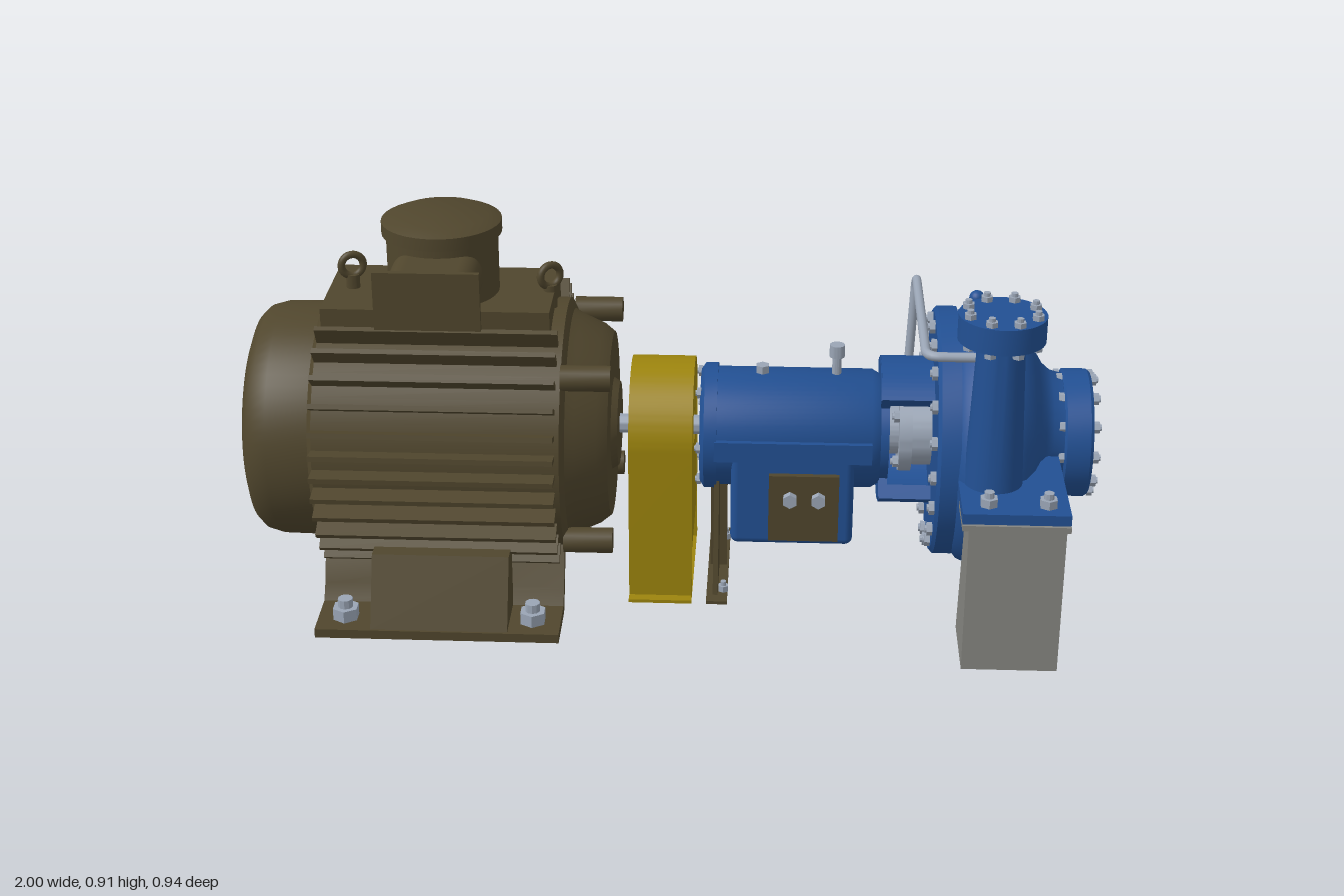
import * as THREE from 'three';
import { toCreasedNormals } from 'three/addons/utils/BufferGeometryUtils.js';
import { RoundedBoxGeometry } from 'three/addons/geometries/RoundedBoxGeometry.js';

const AXIS = 0.385; // shaft height

function material(name, color, side = THREE.FrontSide) {
  const m = new THREE.MeshStandardMaterial({ color, side });
  m.name = name;
  return m;
}

export function createModel() {
  const olive = material('olive paint', 0x50462d);
  const blue = material('blue paint', 0x225093);
  const yellow = material('safety yellow', 0x9c840d, THREE.DoubleSide);
  const steel = material('bright steel', 0x9aa5b5);
  const legGrey = material('support grey', 0x858580, THREE.DoubleSide);
  const endGrey = material('end cover grey', 0x6c6c6a);

  const root = new THREE.Group();
  root.name = 'motorPumpSet';
  const group = (name) => {
    const g = new THREE.Group();
    g.name = name;
    root.add(g);
    return g;
  };
  const add = (parent, name, geo, mat, x = 0, y = 0, z = 0) => {
    const m = new THREE.Mesh(geo, mat);
    m.name = name;
    m.position.set(x, y, z);
    parent.add(m);
    return m;
  };
  // Box given by its limits
  const box = (p, name, mat, x0, x1, y0, y1, z0, z1) =>
    add(p, name, new THREE.BoxGeometry(x1 - x0, y1 - y0, z1 - z0), mat, (x0 + x1) / 2, (y0 + y1) / 2, (z0 + z1) / 2);
  // Turned part along the shaft; profile is [x, radius] with rising x
  const turnedGeo = (profile, seg = 64) => {
    const g = new THREE.LatheGeometry(profile.map(([x, r]) => new THREE.Vector2(r, x)), seg);
    g.rotateZ(-Math.PI / 2);
    return g;
  };
  const turned = (p, name, mat, profile, y = AXIS, z = 0, seg = 64) =>
    add(p, name, toCreasedNormals(turnedGeo(profile, seg), 0.6), mat, 0, y, z);
  const discX = (p, name, mat, x0, x1, r, y = AXIS, z = 0, seg = 48) =>
    turned(p, name, mat, [[x0, 0], [x0, r], [x1, r], [x1, 0]], y, z, seg);
  // Upright cylinder
  const post = (p, name, mat, x, z, y0, y1, r, rTop = r, seg = 40) =>
    add(p, name, toCreasedNormals(new THREE.CylinderGeometry(rTop, r, y1 - y0, seg), 0.6), mat, x, (y0 + y1) / 2, z);
  // Section in [z, y], extruded along x
  const section = (p, name, mat, pts, x0, x1, hole) => {
    const shape = pts instanceof THREE.Shape ? pts : new THREE.Shape(pts.map(([z, y]) => new THREE.Vector2(-z, y)));
    if (hole) shape.holes.push(hole);
    const g = new THREE.ExtrudeGeometry(shape, { depth: x1 - x0, bevelEnabled: false, curveSegments: 32 });
    g.rotateY(Math.PI / 2);
    return add(p, name, toCreasedNormals(g, 0.5), mat, x0, 0, 0);
  };
  // Hexagon nuts with a stud end, upright or along x
  const boltY = (p, x, y, z, r = 0.016, h = 0.016) => {
    post(p, 'boltHead', steel, x, z, y, y + h, r, r, 6);
    post(p, 'boltStud', steel, x, z, y, y + h * 1.7, r * 0.55, r * 0.55, 10);
  };
  const boltX = (p, x, y, z, dir, r = 0.015, h = 0.012) => {
    discX(p, 'boltHead', steel, Math.min(x, x + dir * h), Math.max(x, x + dir * h), r, y, z, 6);
    const e = x + dir * h * 1.35;
    discX(p, 'boltStud', steel, Math.min(x, e), Math.max(x, e), r * 0.55, y, z, 10);
  };
  const ring = (n, r, fn, off = 0) => {
    for (let i = 0; i < n; i++) {
      const a = off + (i / n) * Math.PI * 2;
      fn(r * Math.cos(a), r * Math.sin(a), a);
    }
  };

  // ---- Motor ----
  const motor = group('motor');
  turned(motor, 'fanCowl', olive, [[-0.997, 0], [-0.997, 0.215], [-0.985, 0.25], [-0.965, 0.27], [-0.93, 0.28], [-0.83, 0.282], [-0.83, 0.2]]);
  discX(motor, 'fanCover', endGrey, -1, -0.99, 0.165);
  discX(motor, 'fanCoverCentre', olive, -1.001, -0.99, 0.014, AXIS, 0, 16);
  turned(motor, 'motorBody', olive, [[-0.84, 0], [-0.84, 0.27], [-0.82, 0.3], [-0.25, 0.3], [-0.24, 0.28], [-0.24, 0]]);
  turned(motor, 'endShield', olive, [[-0.25, 0.28], [-0.22, 0.262], [-0.17, 0.24], [-0.145, 0.22], [-0.145, 0.11], [-0.13, 0.1], [-0.13, 0]]);
  ring(4, 0.295, (y, z) => discX(motor, 'shieldLug', olive, -0.25, -0.135, 0.03, AXIS + y, z, 16), Math.PI / 4);
  box(motor, 'topPad', olive, -0.81, -0.28, 0.6, 0.725, -0.14, 0.14);
  // Cooling fins, mirrored; shorter underneath
  for (const s of [-1, 1]) {
    for (const deg of [-82, -72, -60, -49, -38, -28, -18, -9, 0, 9, 18, 29, 40, 51, 61]) {
      const a = THREE.MathUtils.degToRad(deg);
      const tip = deg < -55 ? 0.33 : 0.347;
      const mid = (0.28 + tip) / 2;
      const fin = box(motor, 'coolingFin', olive, -0.82, -0.26, -0.006, 0.006, 0.28 - mid, tip - mid);
      fin.position.set(-0.54, AXIS + mid * Math.sin(a), s * mid * Math.cos(a));
      fin.rotation.x = -s * a;
    }
    // Feet: bent rail, sloped middle and anchor bolts
    const foot = [[0.17, 0.17], [0.2, 0.14], [0.235, 0.06], [0.26, 0.025], [0.39, 0.022], [0.39, 0], [0.245, 0], [0.22, 0.04], [0.185, 0.12], [0.16, 0.15]];
    section(motor, 'footRail', olive, foot.map(([z, y]) => [s * z, y]), -0.82, -0.25);
    section(motor, 'footWeb', olive, [[0.25, 0.18], [0.31, 0.18], [0.385, 0.022], [0.25, 0.022]].map(([z, y]) => [s * z, y]), -0.69, -0.37);
    for (const x of [-0.755, -0.315]) boltY(motor, x, 0.022, s * 0.33, 0.032, 0.03);
  }
  // Lifting eyes
  for (const x of [-0.755, -0.29]) {
    const y = x < -0.5 ? 0.78 : 0.762;
    post(motor, 'eyeStem', olive, x, 0, 0.6, y - 0.022, 0.016);
    add(motor, 'liftingEye', new THREE.TorusGeometry(0.026, 0.009, 10, 28), olive, x, y, 0).rotation.y = x < -0.5 ? 0.4 : 0.6;
  }
  // Terminal box with side conduit entry
  const terminal = group('terminalBox');
  post(terminal, 'terminalHousing', olive, -0.54, 0, 0.65, 0.875, 0.13);
  post(terminal, 'terminalLid', olive, -0.54, 0, 0.87, 0.9, 0.14);
  post(terminal, 'terminalLidCrown', olive, -0.54, 0, 0.9, 0.913, 0.14, 0.11);
  add(terminal, 'conduitEntry', new RoundedBoxGeometry(0.21, 0.105, 0.22, 4, 0.045), olive, -0.54, 0.797, 0.17);
  box(terminal, 'conduitPlate', olive, -0.66, -0.42, 0.735, 0.872, 0.266, 0.28);

  // ---- Shaft and coupling guard ----
  const coupling = group('coupling');
  discX(coupling, 'shaft', steel, -0.14, 0.12, 0.023, AXIS, 0, 24);
  const arch = (r, y0) => {
    const s = new THREE.Shape();
    s.moveTo(-r, y0).lineTo(r, y0).lineTo(r, AXIS).absarc(0, AXIS, r, 0, Math.PI, false).lineTo(-r, y0);
    return s;
  };
  section(coupling, 'guardBand', yellow, arch(0.165, 0), -0.1, 0.05, new THREE.Path(arch(0.157, 0.0005).getPoints(32)));
  const shaftHole = () => new THREE.Path().absarc(0, AXIS, 0.045, 0, Math.PI * 2, true);
  for (const x of [-0.098, 0.04]) section(coupling, 'guardEnd', yellow, arch(0.162, 0.1), x, x + 0.008, shaftHole());
  for (const s of [-1, 1]) box(coupling, 'guardFoot', yellow, -0.1, 0.05, 0, 0.008, s * 0.175 - 0.015, s * 0.175 + 0.015);

  // ---- Bearing housing ----
  const bearing = group('bearingHousing');
  turned(bearing, 'bearingBarrel', blue, [[0.065, 0], [0.065, 0.135], [0.075, 0.15], [0.105, 0.15], [0.105, 0.142], [0.47, 0.142], [0.49, 0.13], [0.49, 0]]);
  add(bearing, 'oilSump', new RoundedBoxGeometry(0.29, 0.24, 0.29, 4, 0.018), blue, 0.285, 0.26, 0);
  box(bearing, 'sideRib', blue, 0.1, 0.47, 0.36, 0.41, -0.153, 0.153);
  box(bearing, 'sumpCover', olive, 0.23, 0.395, 0.16, 0.33, 0.13, 0.16);
  for (const x of [0.28, 0.347]) {
    const b = add(bearing, 'coverBolt', toCreasedNormals(new THREE.CylinderGeometry(0.018, 0.018, 0.02, 6), 0.6), steel, x, 0.272, 0.168);
    b.rotation.x = Math.PI / 2;
  }
  ring(6, 0.13, (y, z) => boltX(bearing, 0.067, AXIS + y, z, -1, 0.013, 0.01), Math.PI / 6);
  post(bearing, 'breather', steel, 0.385, 0, 0.52, 0.575, 0.011, 0.011, 16);
  post(bearing, 'breatherCap', steel, 0.385, 0, 0.57, 0.6, 0.018, 0.018, 16);
  post(bearing, 'fillerPlug', steel, 0.21, 0, 0.52, 0.545, 0.017, 0.017, 6);
  // Bearing foot
  section(bearing, 'bearingFoot', olive, [[-0.16, 0], [0.16, 0], [0.1, 0.29], [-0.1, 0.29]], 0.1, 0.112);
  box(bearing, 'bearingFootRib', olive, 0.09, 0.13, 0, 0.26, -0.006, 0.006);
  box(bearing, 'bearingFootBase', olive, 0.085, 0.135, 0, 0.008, -0.19, 0.19);
  for (const z of [-0.135, 0.135]) boltY(bearing, 0.125, 0.008, z, 0.013, 0.015);

  // ---- Adapter and shaft seal ----
  const adapter = group('sealAdapter');
  turned(adapter, 'adapterNeck', blue, [[0.48, 0.125], [0.51, 0.125], [0.51, 0]]);
  for (const mid of [Math.PI / 2, -Math.PI / 2]) {
    const arm = new THREE.Shape();
    arm.absarc(0, AXIS, 0.175, mid - 0.75, mid + 0.75, false);
    arm.absarc(0, AXIS, 0.14, mid + 0.75, mid - 0.75, true);
    section(adapter, 'adapterArm', blue, arm, 0.49, 0.62);
    const web = new THREE.Shape();
    web.absarc(0, AXIS, 0.17, mid - 0.75, mid + 0.75, false);
    web.absarc(0, AXIS, 0.1, mid + 0.75, mid - 0.75, true);
    section(adapter, 'adapterWeb', blue, web, 0.488, 0.51);
  }
  turned(adapter, 'sealGland', steel, [[0.5, 0], [0.5, 0.06], [0.535, 0.06], [0.535, 0.1], [0.565, 0.1], [0.565, 0.085], [0.62, 0.085]]);
  ring(4, 0.083, (y, z) => boltX(adapter, 0.536, AXIS + y, z, -1, 0.014, 0.014), Math.PI / 4);

  // ---- Pump casing ----
  const pump = group('pumpCasing');
  turned(pump, 'casingCover', blue, [[0.612, 0], [0.612, 0.285], [0.62, 0.295], [0.665, 0.295], [0.665, 0.2]]);
  ring(20, 0.265, (y, z) => boltX(pump, 0.612, AXIS + y, z, -1, 0.016, 0.013));
  const volute = turnedGeo([[0.66, 0.27], [0.675, 0.288], [0.7, 0.298], [0.74, 0.298], [0.78, 0.286], [0.815, 0.262], [0.84, 0.225], [0.855, 0.19], [0.87, 0.165], [0.89, 0.148], [0.92, 0.14]], 96);
  // Swell the volute toward the discharge side
  const v = volute.attributes.position;
  for (let i = 0; i < v.count; i++) {
    const y = v.getY(i), z = v.getZ(i), r = Math.hypot(y, z);
    const c = Math.max(0, Math.cos(Math.atan2(y, z) + 0.35));
    const k = 1 + 0.105 * c * c * THREE.MathUtils.smoothstep(r, 0.17, 0.27);
    v.setY(i, y * k);
    v.setZ(i, z * k);
  }
  add(pump, 'volute', toCreasedNormals(volute, 0.7), blue, 0, AXIS, 0);
  turned(pump, 'suctionFlange', blue, [[0.915, 0], [0.915, 0.145], [0.92, 0.152], [0.975, 0.152], [0.982, 0.147], [0.982, 0]]);
  ring(12, 0.137, (y, z) => {
    boltX(pump, 0.982, AXIS + y, z, 1, 0.014, 0.013);
    boltX(pump, 0.915, AXIS + y, z, -1, 0.014, 0.013);
  });
  post(pump, 'liftingLugBase', blue, 0.705, 0, 0.66, 0.725, 0.02, 0.018, 24);
  add(pump, 'liftingLugTip', new THREE.SphereGeometry(0.018, 20, 12), blue, 0.705, 0.725, 0);
  // Discharge nozzle
  post(pump, 'dischargeNozzle', blue, 0.738, 0.295, 0.36, 0.75, 0.068, 0.053);
  post(pump, 'dischargeFlange', blue, 0.738, 0.295, 0.748, 0.808, 0.098);
  ring(8, 0.08, (x, z) => {
    boltY(pump, 0.738 + x, 0.808, 0.295 + z, 0.014, 0.012);
    post(pump, 'flangeNut', steel, 0.738 + x, 0.295 + z, 0.734, 0.748, 0.014, 0.014, 6);
  }, Math.PI / 8);

  // ---- Mounting wings and support legs ----
  const supports = group('supports');
  for (const s of [-1, 1]) {
    const span = (a, b) => [Math.min(s * a, s * b), Math.max(s * a, s * b)];
    box(supports, 'mountingWing', blue, 0.66, 0.9, 0.372, 0.397, ...span(0.16, 0.462));
    box(supports, 'legTop', legGrey, 0.66, 0.9, 0.358, 0.372, ...span(0.345, 0.47));
    box(supports, 'legOuterWall', legGrey, 0.675, 0.892, 0, 0.358, ...span(0.452, 0.46));
    for (const x of [0.675, 0.884])
      section(supports, 'legSide', legGrey, [[0.27, 0], [0.46, 0], [0.46, 0.358], [0.355, 0.358]].map(([z, y]) => [s * z, y]), x, x + 0.008);
    for (const x of [0.72, 0.852]) boltY(supports, x, 0.397, s * 0.416, 0.021, 0.02);
  }

  // ---- Flush pipe from discharge to seal ----
  const P = (x, y, z) => new THREE.Vector3(x, y, z);
  const corners = [P(0.72, 0.697, 0.285), P(0.575, 0.697, 0.285), P(0.575, 0.697, -0.205), P(0.565, 0.46, -0.205), P(0.555, 0.4, -0.08)];
  const path = new THREE.CurvePath();
  let from = corners[0];
  for (let i = 1; i < corners.length - 1; i++) {
    const c = corners[i];
    const a = c.clone().add(corners[i - 1].clone().sub(c).setLength(0.035));
    const b = c.clone().add(corners[i + 1].clone().sub(c).setLength(0.035));
    path.add(new THREE.LineCurve3(from, a));
    path.add(new THREE.QuadraticBezierCurve3(a, c, b));
    from = b;
  }
  path.add(new THREE.LineCurve3(from, corners[corners.length - 1]));
  add(root, 'flushPipe', new THREE.TubeGeometry(path, 120, 0.011, 12), steel);

  return root;
}
